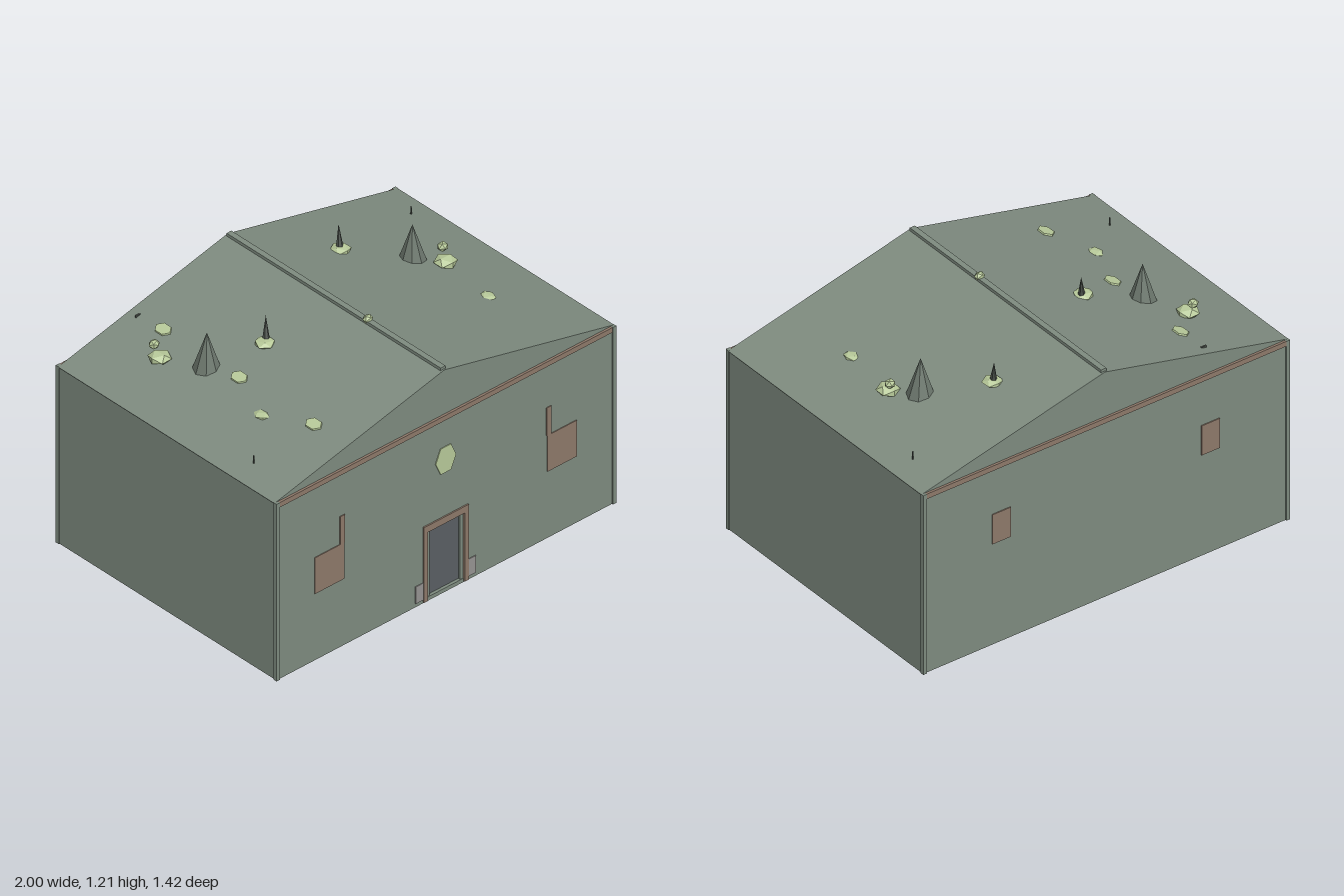
import * as THREE from 'three';

export function createModel() {
  const g = new THREE.Group();
  g.name = 'mossyCottage';
  const mat = (name, color, extra = {}) => {
    const m = new THREE.MeshStandardMaterial({ color, flatShading: true, ...extra });
    m.name = name;
    return m;
  };
  const wallMat = mat('weatheredGreen', 0x7f8c80);
  const woodMat = mat('fadedWood', 0x8f7a6b);
  const mossMat = mat('paleMoss', 0xb9cb9b);
  const stoneMat = mat('greyStone', 0x979593);
  const doorMat = mat('darkSlate', 0x5b6064);
  const spireMat = mat('spireGreen', 0x6d786e);
  const thornMat = mat('darkThorn', 0x4c524c);

  const add = (name, geo, m, x = 0, y = 0, z = 0) => {
    const mesh = new THREE.Mesh(geo, m);
    mesh.name = name;
    mesh.position.set(x, y, z);
    g.add(mesh);
    return mesh;
  };
  // box given by its limits
  const box = (name, m, x0, x1, y0, y1, z0, z1) =>
    add(name, new THREE.BoxGeometry(x1 - x0, y1 - y0, z1 - z0), m,
      (x0 + x1) / 2, (y0 + y1) / 2, (z0 + z1) / 2);
  const polygon = pts => new THREE.Shape(pts.map(p => new THREE.Vector2(...p)));
  const extrude = (shape, depth) => new THREE.ExtrudeGeometry(shape, { depth, bevelEnabled: false });
  const roofY = x => 1.175 - 0.235 * Math.abs(x);

  // walls, with a doorway cut in the front layer
  box('walls', wallMat, -0.995, 0.995, 0.01, 0.94, -0.705, 0.67);
  const front = polygon([[-0.995, 0.01], [0.995, 0.01], [0.995, 0.94], [-0.995, 0.94]]);
  front.holes.push(new THREE.Path([[-0.11, 0.02], [-0.11, 0.37], [0.11, 0.37], [0.11, 0.02]]
    .map(p => new THREE.Vector2(...p))));
  add('frontWall', extrude(front, 0.035), wallMat, 0, 0, 0.67);
  box('floor', stoneMat, -0.965, 0.965, 0.004, 0.012, -0.675, 0.675);

  // corner posts and base rim
  for (const s of [-1, 1]) {
    for (const t of [-1, 1]) {
      box('cornerPost', wallMat, s * 0.99 - 0.01, s * 0.99 + 0.01, 0, 0.942, t * 0.702 - 0.01, t * 0.702 + 0.01);
    }
    box('sideRim', wallMat, s * 0.98 - 0.015, s * 0.98 + 0.015, 0, 0.02, -0.705, 0.705);
    box('endRim', wallMat, -0.98, 0.98, 0, 0.02, s * 0.69 - 0.015, s * 0.69 + 0.015);
    box('eaveTrim', woodMat, -0.98, 0.98, 0.915, 0.941, s * 0.702 - 0.008, s * 0.702 + 0.008);
  }

  // gabled roof and ridge beam
  add('roof', extrude(polygon([[-1, 0.937], [1, 0.937], [1, 0.94], [0, 1.175], [-1, 0.94]]), 1.396),
    wallMat, 0, 0, -0.698);
  box('ridgeBeam', wallMat, -0.014, 0.014, 1.165, 1.187, -0.69, 0.69);

  // door, frame and plinth stones
  box('door', doorMat, -0.09, 0.09, 0.02, 0.36, 0.68, 0.69);
  for (const s of [-1, 1]) {
    box('doorJamb', wallMat, s * 0.1 - 0.01, s * 0.1 + 0.01, 0.02, 0.37, 0.67, 0.702);
    box('frameSide', woodMat, s * 0.12 - 0.012, s * 0.12 + 0.012, 0.005, 0.405, 0.69, 0.712);
    box('doorStone', stoneMat, s * 0.155 - 0.023, s * 0.155 + 0.023, 0.02, 0.11, 0.7, 0.709);
  }
  box('frameTop', woodMat, -0.132, 0.132, 0.37, 0.405, 0.69, 0.712);

  // boarded windows, front and back
  for (const s of [-1, 1]) {
    box('frontShutter', woodMat, s * 0.685 - 0.086, s * 0.685 + 0.086, 0.355, 0.547, 0.701, 0.709);
    box('shutterPost', woodMat, s * 0.608 - 0.014, s * 0.608 + 0.014, 0.547, 0.695, 0.701, 0.709);
    box('backShutter', woodMat, s * 0.57 - 0.05, s * 0.57 + 0.05, 0.53, 0.685, -0.71, -0.702);
  }

  // moss hexagon above the door
  add('mossHexagon', extrude(polygon([[-0.03, -0.068], [0.03, -0.068], [0.06, 0],
    [0.03, 0.068], [-0.03, 0.068], [-0.06, 0]]), 0.006), mossMat, 0, 0.705, 0.703);

  // moss clumps on the roof: x, z, height above roof, radii
  const clumps = [
    [0.7, -0.06, 0.016, 0.055, 0.028, 0.055], [0.715, -0.095, 0.073, 0.028, 0.024, 0.024],
    [-0.705, -0.365, 0.016, 0.055, 0.028, 0.055], [-0.71, -0.395, 0.073, 0.028, 0.024, 0.024],
    [0.36, -0.365, 0.004, 0.05, 0.02, 0.05], [-0.36, -0.065, 0.004, 0.05, 0.02, 0.05],
    [0.665, 0.25, 0, 0.034, 0.012, 0.042], [-0.665, 0.25, 0, 0.034, 0.012, 0.042],
    [0, 0.205, 0.016, 0.026, 0.022, 0.02],
  ];
  clumps.forEach(([x, z, h, rx, ry, rz], i) => {
    const geo = new THREE.IcosahedronGeometry(1, 0).rotateY(i * 0.8).scale(rx, ry, rz);
    add('mossClump', geo, mossMat, x, roofY(x) + h, z);
  });

  // flat moss patches on the right slope
  for (const z of [-0.49, 0, 0.48]) {
    const patch = new THREE.CylinderGeometry(0.034, 0.036, 0.009, 6).scale(0.95, 1, 1.3);
    add('mossPatch', patch, mossMat, -0.57, roofY(0.57) + 0.003, z).rotation.z = Math.atan(0.235);
  }

  // spires, thorns and twigs
  for (const s of [-1, 1]) {
    add('spire', new THREE.ConeGeometry(0.068, 0.2, 8), spireMat, s * 0.605, 1.11, -0.17);
    const thornZ = s > 0 ? -0.378 : -0.082;
    const thorn = add('thorn', new THREE.ConeGeometry(0.019, 0.125, 6), thornMat,
      s > 0 ? 0.364 : -0.338, 1.15, thornZ);
    thorn.rotation.set(-0.18, 0, s > 0 ? -0.1 : -0.15);
    add('twig', new THREE.CylinderGeometry(0.003, 0.004, 0.05, 5), thornMat,
      s * 0.887, 0.982, s > 0 ? -0.487 : 0.44);
  }
  box('looseTwig', thornMat, -0.592, -0.565, roofY(0.58) - 0.004, roofY(0.58) + 0.008, -0.649, -0.641);

  return g;
}
